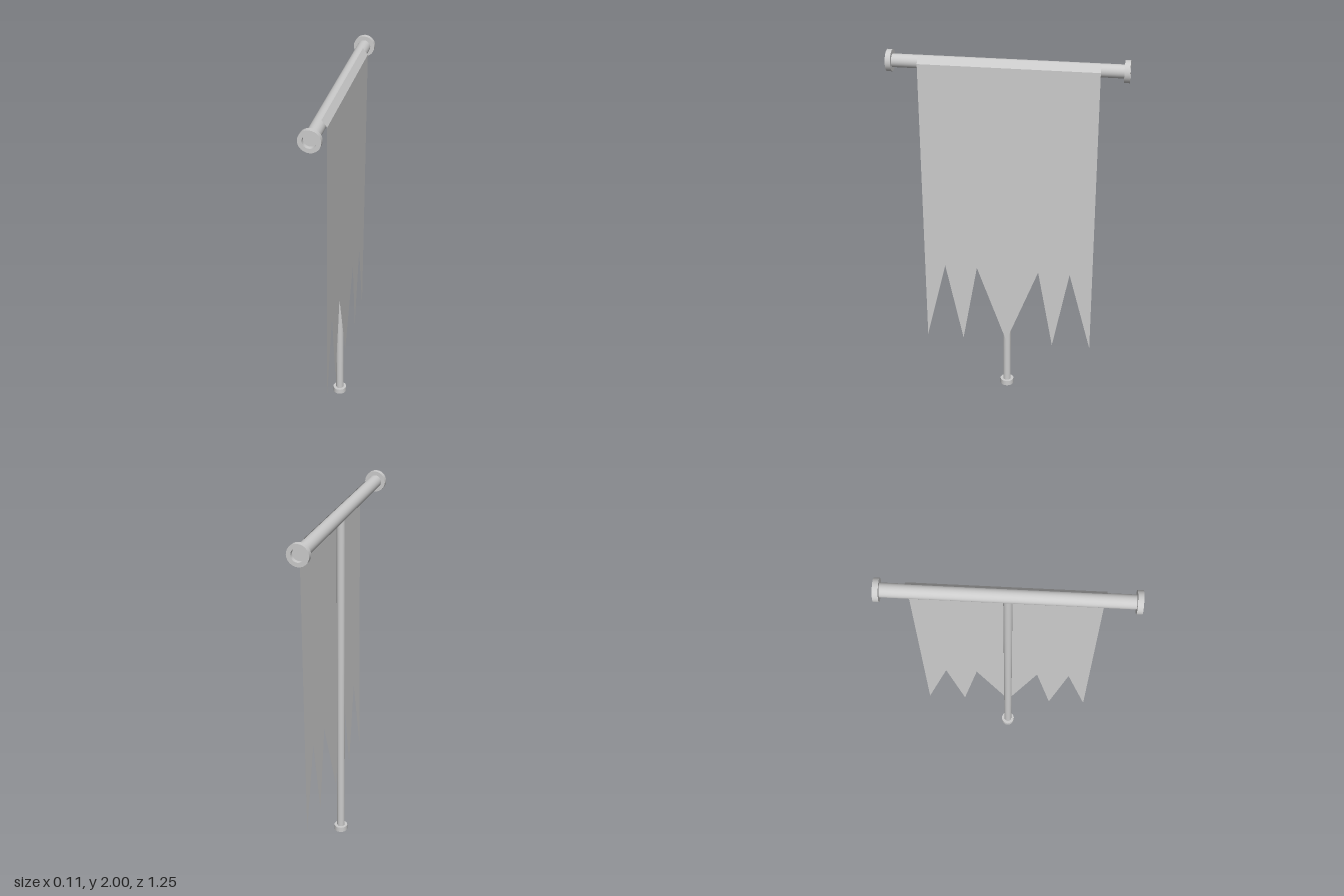
import * as THREE from 'three';

const BAR_Y = 1.943;

export function createModel() {
  const model = new THREE.Group();
  const metal = new THREE.MeshStandardMaterial({ color: 0xcccccc });
  const fabric = new THREE.MeshStandardMaterial({ color: 0xcccccc, side: THREE.DoubleSide });

  const add = (name, geometry, material = metal) => {
    const mesh = new THREE.Mesh(geometry, material);
    mesh.name = name;
    model.add(mesh);
    return mesh;
  };

  // Upright pole and its foot
  add('pole', new THREE.CylinderGeometry(0.022, 0.022, 1.91, 20)).position.y = 0.975;
  add('poleFoot', new THREE.CylinderGeometry(0.038, 0.038, 0.03, 20)).position.y = 0.015;

  // Crossbar along z
  const bar = add('crossbar', new THREE.CylinderGeometry(0.035, 0.035, 1.204, 24));
  bar.rotation.x = Math.PI / 2;
  bar.position.y = BAR_Y;

  // Flanged end caps with a round recess, doubled profile points keep edges sharp
  const profile = [
    [0.034, 0], [0.057, 0], [0.057, 0], [0.057, 0.028], [0.057, 0.028],
    [0.035, 0.028], [0.035, 0.028], [0.035, 0.005],
  ].map(([r, h]) => new THREE.Vector2(r, h));
  const capGeometry = new THREE.LatheGeometry(profile, 24);
  for (const side of [1, -1]) {
    const cap = add(side > 0 ? 'frontEndCap' : 'backEndCap', capGeometry);
    cap.rotation.x = side * Math.PI / 2;
    cap.position.set(0, BAR_Y, side * 0.597);
  }

  // Banner cloth with a ragged lower edge, drawn as (z, y) and hung beside the pole
  const outline = [
    [0.46, BAR_Y], [0.46, 0.31], [0.345, 0.775], [0.25, 0.305], [0.165, 0.775], [0, 0.31],
    [-0.18, 0.775], [-0.265, 0.305], [-0.355, 0.775], [-0.48, 0.305], [-0.48, BAR_Y],
  ].map(([z, y]) => new THREE.Vector2(-z, y));
  const cloth = new THREE.ShapeGeometry(new THREE.Shape(outline));
  cloth.rotateY(Math.PI / 2);
  const p = cloth.attributes.position;
  for (let i = 0; i < p.count; i++) {
    // leans slightly towards the pole at the bottom
    p.setX(i, 0.045 - 0.013 * (BAR_Y - p.getY(i)) / 1.635);
  }
  cloth.computeVertexNormals();
  add('bannerCloth', cloth, fabric);

  // Top fold of the cloth lying over the bar
  const dx = -0.027, dy = 0.035;
  const fold = new THREE.PlaneGeometry(0.94, Math.hypot(dx, dy));
  fold.rotateY(Math.PI / 2);
  fold.rotateZ(Math.atan2(-dx, dy));
  fold.translate(0.045 + dx / 2, BAR_Y + dy / 2, -0.01);
  add('bannerFold', fold, fabric);

  return model;
}
